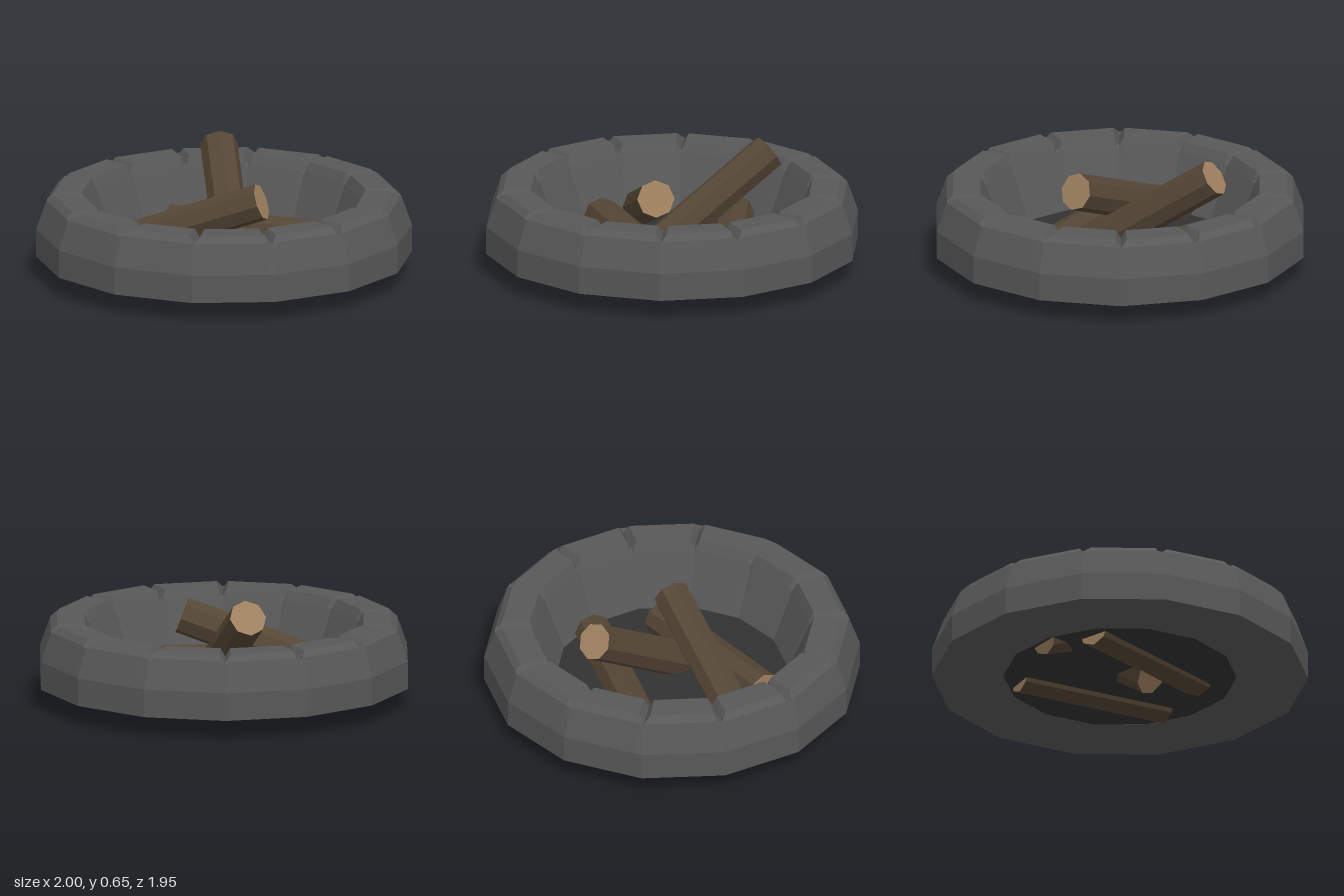
import * as THREE from 'three';

const SIDES = 14;
const STEP = (Math.PI * 2) / SIDES;

const material = (name, color, extra = {}) => {
  const m = new THREE.MeshStandardMaterial({ color, ...extra });
  m.name = name;
  return m;
};

// Faceted copy of a geometry
function faceted(geometry) {
  const g = geometry.index ? geometry.toNonIndexed() : geometry;
  g.computeVertexNormals();
  return g;
}

// Fourteen-sided stone ring, with a V-shaped joint cut into its top at each corner
function stoneRingGeometry() {
  // radius, height, height at the bottom of a joint
  const profile = [
    [1, 0.115, 0.115], [1, 0.265, 0.265], [0.945, 0.425, 0.42], [0.91, 0.457, 0.415],
    [0.76, 0.457, 0.415], [0.735, 0.405, 0.4], [0.62, 0.115, 0.115],
  ];
  const half = 0.034; // half angle of a joint
  const n = profile.length;
  const columns = SIDES * 3;
  const positions = [];
  const index = [];
  for (let i = 0; i < columns; i++) {
    const side = (i % 3) - 1;
    const a = Math.floor(i / 3) * STEP + side * half;
    // keep the columns beside a joint on the straight sides
    const flat = side ? Math.cos(STEP / 2) / Math.cos(STEP / 2 - half) : 1;
    for (const [r, y, yJoint] of profile) {
      positions.push(r * flat * Math.cos(a), side ? y : yJoint, r * flat * Math.sin(a));
    }
    const next = ((i + 1) % columns) * n;
    for (let j = 0; j < n; j++) {
      const k = (j + 1) % n;
      index.push(i * n + j, i * n + k, next + j, i * n + k, next + k, next + j);
    }
  }
  const g = new THREE.BufferGeometry();
  g.setAttribute('position', new THREE.Float32BufferAttribute(positions, 3));
  g.setIndex(index);
  return faceted(g);
}

// Octagonal log between two end centres, with pale cut ends
function makeLog(name, from, to, bark, cutWood) {
  const a = new THREE.Vector3(...from);
  const b = new THREE.Vector3(...to);
  const axis = b.clone().sub(a);
  const g = faceted(new THREE.CylinderGeometry(0.1, 0.1, axis.length(), 8));
  const log = new THREE.Mesh(g, [bark, cutWood, cutWood]);
  log.name = name;
  // local y along the log, local z kept upright
  const y = axis.normalize();
  const x = new THREE.Vector3().crossVectors(y, new THREE.Vector3(0, 1, 0)).normalize();
  const z = new THREE.Vector3().crossVectors(x, y);
  log.quaternion.setFromRotationMatrix(new THREE.Matrix4().makeBasis(x, y, z));
  log.position.copy(a).add(b).multiplyScalar(0.5);
  return log;
}

export function createModel() {
  const stone = material('stone grey', 0x585858);
  const ash = material('dark ash', 0x323232, { side: THREE.DoubleSide });
  const bark = material('bark brown', 0x554635);
  const cutWood = material('cut wood', 0xa08260);

  const model = new THREE.Group();
  model.name = 'firePit';

  const ring = new THREE.Mesh(stoneRingGeometry(), stone);
  ring.name = 'stoneRing';
  model.add(ring);

  // Ash bed closing the ring
  const bed = new THREE.Mesh(new THREE.CircleGeometry(0.62, SIDES), ash);
  bed.name = 'ashBed';
  bed.rotation.x = -Math.PI / 2;
  bed.position.y = 0.116;
  model.add(bed);

  // Two logs lying flat, two leaning over them
  const logs = [
    ['backLog', [-0.44, 0.165, -0.31], [0.43, 0.165, -0.31]],
    ['frontLog', [-0.36, 0.16, 0.4], [0.44, 0.17, 0.06]],
    ['slopingLog', [-0.565, 0.148, 0.2], [0.245, 0.446, 0.07]],
    ['leaningLog', [0.12, 0.088, 0.13], [-0.24, 0.573, -0.5]],
  ];
  for (const [name, from, to] of logs) model.add(makeLog(name, from, to, bark, cutWood));

  return model;
}
